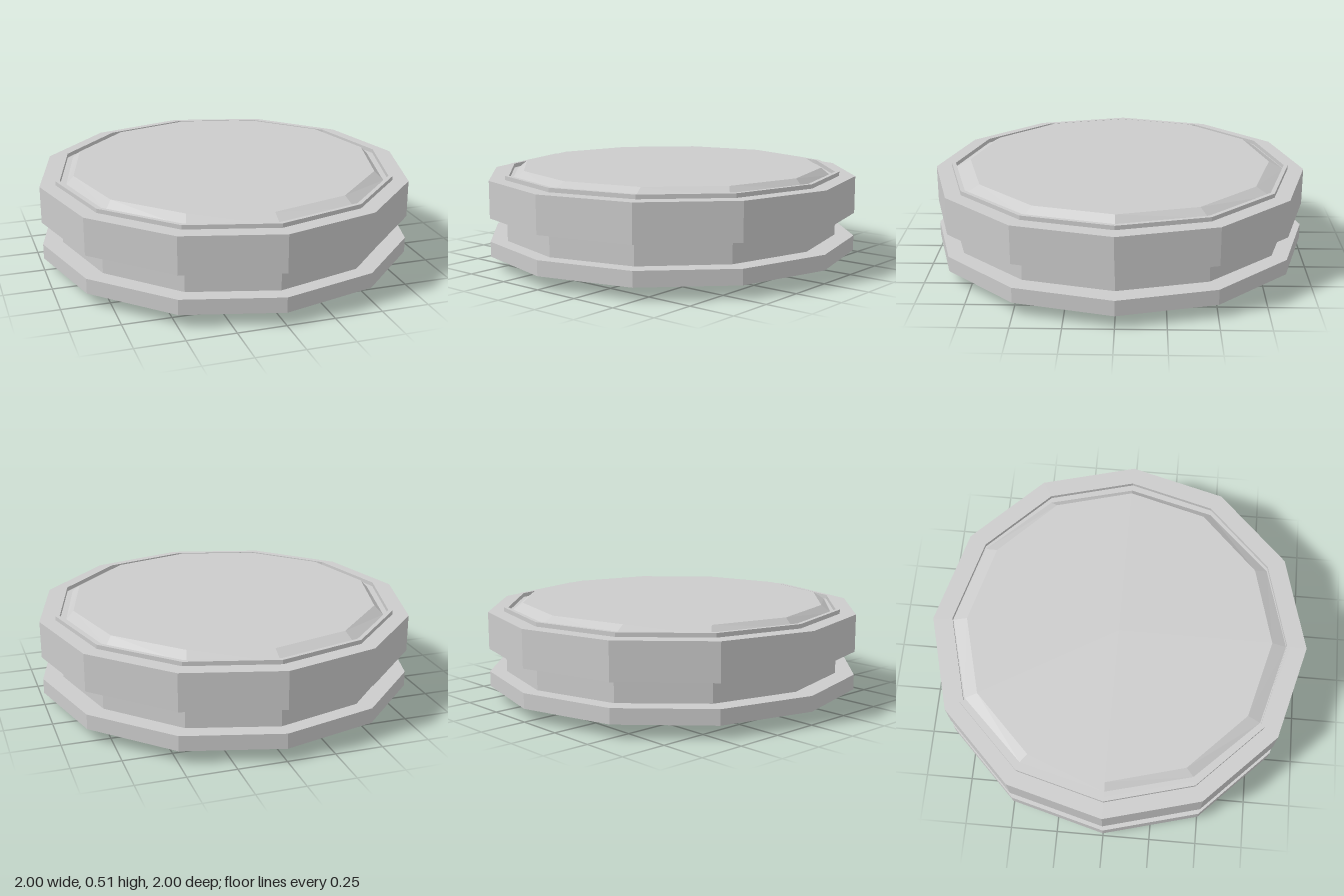
import * as THREE from 'three';

const SIDES = 12;

export function createModel() {
  const group = new THREE.Group();
  const material = new THREE.MeshStandardMaterial({ color: 0xcccccc, flatShading: true });

  // Twelve-sided turned part; profile is [radius, height] from the bottom up
  function turned(name, profile, depthScale = 1) {
    const points = profile.map(([r, y]) => new THREE.Vector2(r, y));
    const mesh = new THREE.Mesh(new THREE.LatheGeometry(points, SIDES), material);
    mesh.name = name;
    mesh.scale.z = depthScale;
    group.add(mesh);
  }

  // Bottom flange with a shallow pointed underside
  turned('baseFlange', [[0, 0], [1, 0.068], [1, 0.148], [0, 0.148]]);

  // Recessed neck, slightly longer front to back
  turned('neck', [[0.893, 0.148], [0.893, 0.272]], 0.917 / 0.893);

  // Thick upper band
  turned('upperBand', [[0, 0.272], [1, 0.272], [1, 0.47], [0, 0.47]]);

  // Thin raised rim around the cap
  turned('rim', [[0.915, 0.47], [0.915, 0.492], [0.893, 0.492], [0.893, 0.47]]);

  // Bevelled cap, its foot stretched front to back so the bevel is wider there
  turned('cap', [[0.86, 0.47], [0.82, 0.512], [0, 0.512]]);
  const position = group.getObjectByName('cap').geometry.attributes.position;
  for (let i = 0; i < position.count; i++) {
    const stretch = position.getY(i) < 0.5 ? 0.89 / 0.86 : 0.812 / 0.82;
    position.setZ(i, position.getZ(i) * stretch);
  }
  group.getObjectByName('cap').geometry.computeVertexNormals();

  return group;
}
